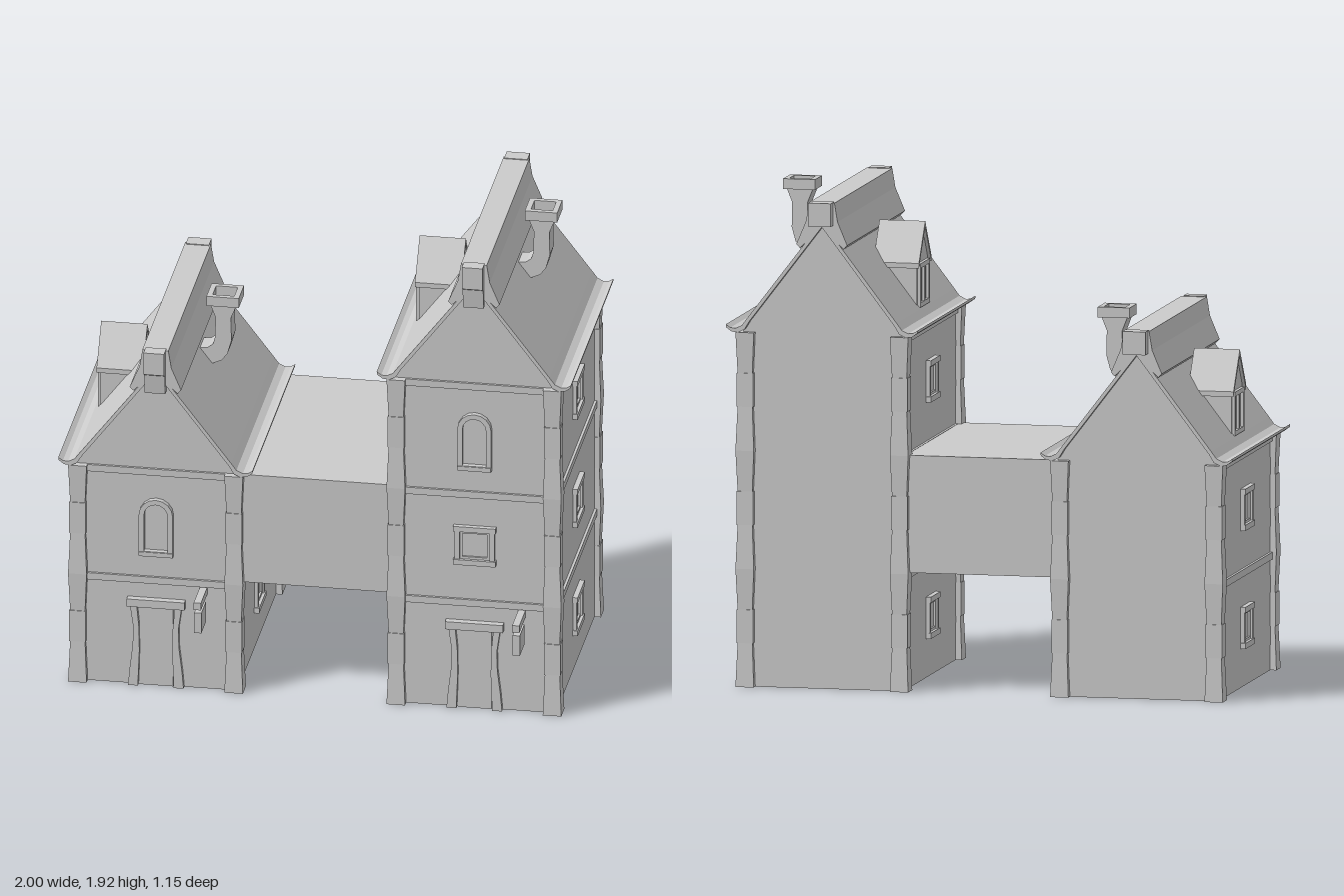
import * as THREE from 'three';

const mat = new THREE.MeshStandardMaterial({ color: 0xcccccc, flatShading: true, side: THREE.DoubleSide });
const FLOOR = 0.458;   // storey height
const HALF_W = 0.315;  // half width of a house body
const HALF_D = 0.465;  // half depth of a house body
const ROOF_D = 0.493;  // half depth of the roof

function add(parent, name, geo, x = 0, y = 0, z = 0) {
  const m = new THREE.Mesh(geo, mat);
  m.name = name;
  m.position.set(x, y, z);
  parent.add(m);
  return m;
}
function group(parent, name, x = 0, y = 0, z = 0) {
  const g = new THREE.Group();
  g.name = name;
  g.position.set(x, y, z);
  parent.add(g);
  return g;
}
const box = (w, h, d) => new THREE.BoxGeometry(w, h, d);
const shapeOf = (pts) => new THREE.Shape(pts.map(([x, y]) => new THREE.Vector2(x, y)));

// Prism along z, from z0 to z1, with an optional hole
function prism(pts, z0, z1, hole) {
  const s = shapeOf(pts);
  if (hole) s.holes.push(shapeOf(hole));
  return new THREE.ExtrudeGeometry(s, { depth: z1 - z0, bevelEnabled: false }).translate(0, 0, z0);
}
// Complete a symmetric outline from its right half
const mirror = (half) => [...half, ...half.filter((p) => p[0] > 0).reverse().map(([x, y]) => [-x, y])];
const rect = (w, h) => [[w, h], [-w, h], [-w, -h], [w, -h]];
const arch = (w, bottom, spring) => {
  const pts = [[-w, bottom], [w, bottom]];
  for (let i = 0; i <= 8; i++) {
    const a = (i / 8) * Math.PI;
    pts.push([Math.cos(a) * w, spring + Math.sin(a) * w]);
  }
  return pts;
};

// Square window with sill, lintel and side bars, facing +z
function squareWindow(parent, x, y, z, turn) {
  const g = group(parent, 'window', x, y, z);
  g.rotation.y = turn;
  for (const s of [-1, 1]) {
    add(g, 'windowBar', box(0.165, 0.022, 0.04), 0, s * 0.07, 0);
    add(g, 'windowJamb', box(0.02, 0.12, 0.03), s * 0.068, 0, 0);
  }
  add(g, 'windowSash', prism(rect(0.058, 0.059), 0, 0.008, rect(0.048, 0.049)));
}

function archedWindow(parent, y) {
  const g = group(parent, 'archedWindow', 0, y, HALF_D);
  add(g, 'archFrame', prism(arch(0.066, -0.12, 0.053), -0.01, 0.022, arch(0.046, -0.1, 0.053)));
  add(g, 'archSill', box(0.13, 0.018, 0.04), 0, -0.111, 0.005);
}

function door(parent) {
  const g = group(parent, 'door', 0, 0, HALF_D);
  add(g, 'doorLintel', box(0.225, 0.032, 0.05), 0, 0.351, 0.003);
  const jamb = [[0.07, 0], [0.108, 0], [0.102, 0.07], [0.09, 0.17], [0.088, 0.25], [0.1, 0.335], [0.074, 0.335], [0.066, 0.25], [0.064, 0.15]];
  for (const s of [-1, 1]) add(g, 'doorJamb', prism(jamb.map(([x, y]) => [s * x, y]), -0.01, 0.02));
  add(g, 'doorPanel', box(0.13, 0.335, 0.01), 0, 0.1675, 0);
}

// Hanging sign on an arm
function sign(parent) {
  const g = group(parent, 'hangingSign', 0.183, 0, 0);
  add(g, 'signArm', box(0.028, 0.03, 0.15), 0, 0.412, 0.537);
  add(g, 'signLink', box(0.01, 0.03, 0.01), 0, 0.388, 0.565);
  add(g, 'signBoard', box(0.028, 0.085, 0.105), 0, 0.337, 0.548);
}

// Corner post of stacked stones, pinched in the middle of every storey
function post(parent, floors, x, z) {
  const steps = [[0, 0.036], [0.17, 0.029], [0.17, 0.032], [0.3, 0.032], [0.3, 0.029], [FLOOR, 0.036]];
  const pts = [new THREE.Vector2(0, 0)];
  for (let f = 0; f < floors; f++)
    for (const [y, r] of steps) pts.push(new THREE.Vector2(r * Math.SQRT2, y + f * FLOOR));
  pts.push(new THREE.Vector2(0, floors * FLOOR));
  add(parent, 'cornerPost', new THREE.LatheGeometry(pts, 4, Math.PI / 4), x, 0, z);
}

function roof(parent, eave) {
  const g = group(parent, 'roof', 0, eave, 0);
  // Thin shell with upturned eaves
  const shell = mirror([[0, 0.44], [0.295, 0.055], [0.315, 0.028], [0.34, 0.016], [0.36, 0.018], [0.378, 0.03],
    [0.376, 0.018], [0.355, 0.003], [0.33, 0], [0.305, 0.012], [0.285, 0.045], [0, 0.418]]);
  add(g, 'roofShell', prism(shell, -ROOF_D, ROOF_D));
  add(g, 'ridgeCap', prism(mirror([[0, 0.513], [0.05, 0.513], [0.062, 0.44], [0.1, 0.35], [0.086, 0.335], [0, 0.42]]), -ROOF_D, ROOF_D));
  // Ridge ends: tapering hook in front, plain block behind
  const hook = prism([[-0.48, 0.516], [-0.533, 0.516], [-0.533, 0.425], [-0.515, 0.415], [-0.505, 0.335], [-0.48, 0.335]], -0.04, 0.04);
  add(g, 'ridgeHook', hook.rotateY(Math.PI / 2));
  add(g, 'ridgeBlock', box(0.09, 0.09, 0.06), 0, 0.471, -0.505);

  // Bent chimney with open top
  const c = group(g, 'chimney', 0, 0, -0.02);
  add(c, 'chimneyFlue', prism([[0.08, 0.315], [0.125, 0.32], [0.145, 0.335], [0.153, 0.365], [0.155, 0.45], [0.135, 0.5],
    [0.235, 0.5], [0.215, 0.45], [0.217, 0.355], [0.202, 0.3], [0.18, 0.27], [0.147, 0.255], [0.1, 0.255]], -0.046, 0.046));
  const rim = prism(rect(0.063, 0.06), 0, 0.04, rect(0.042, 0.04)).rotateX(-Math.PI / 2);
  add(c, 'chimneyRim', rim, 0.185, 0.502, 0);

  // Dormer facing -x
  const d = group(g, 'dormer', -0.295, 0, -0.006);
  d.rotation.y = -Math.PI / 2;
  add(d, 'dormerRoof', prism([[-0.108, 0.215], [-0.108, 0.235], [0, 0.385], [0.108, 0.235], [0.108, 0.215], [0, 0.362]], -0.18, 0));
  add(d, 'dormerWall', prism([[-0.092, 0.055], [0.092, 0.055], [0.092, 0.235], [0, 0.365], [-0.092, 0.235]], -0.178, -0.012));
  add(d, 'dormerFrame', prism(rect(0.08, 0.085), -0.015, 0, rect(0.062, 0.067)), 0, 0.145, 0);
  add(d, 'dormerMullion', box(0.014, 0.14, 0.014), 0, 0.145, -0.008);
}

// bridgeSide: the side (+1 or -1) whose second storey meets the bridge
function house(parent, name, x, floors, bridgeSide) {
  const g = group(parent, name, x, 0, -0.037);
  const eave = floors * FLOOR;
  add(g, 'walls', prism(mirror([[0, eave + 0.42], [HALF_W, eave + 0.01], [HALF_W, 0]]), -HALF_D, HALF_D));
  for (const sx of [-1, 1]) for (const sz of [-1, 1]) post(g, floors, sx * 0.304, sz * 0.457);
  for (let f = 0; f < floors; f++) {
    const top = (f + 1) * FLOOR;
    add(g, 'frontBand', box(0.56, 0.028, 0.02), 0, top - 0.014, HALF_D);
    for (const s of [-1, 1]) {
      add(g, 'sideBand', box(0.02, 0.028, 0.87), s * HALF_W, top - 0.014, 0);
      if (f !== 1 || s !== bridgeSide)
        squareWindow(g, s * HALF_W, f * FLOOR + 0.232, 0, (s * Math.PI) / 2);
    }
  }
  if (floors > 2) squareWindow(g, 0, FLOOR + 0.23, HALF_D, 0);
  archedWindow(g, eave - 0.245);
  door(g);
  sign(g);
  roof(g, eave);
}

export function createModel() {
  const model = new THREE.Group();
  model.name = 'twinHouses';
  house(model, 'shortHouse', -0.622, 2, 1);
  house(model, 'tallHouse', 0.617, 3, -1);
  add(model, 'bridge', box(0.64, 0.455, 0.925), 0, 0.6875, -0.037);
  return model;
}
